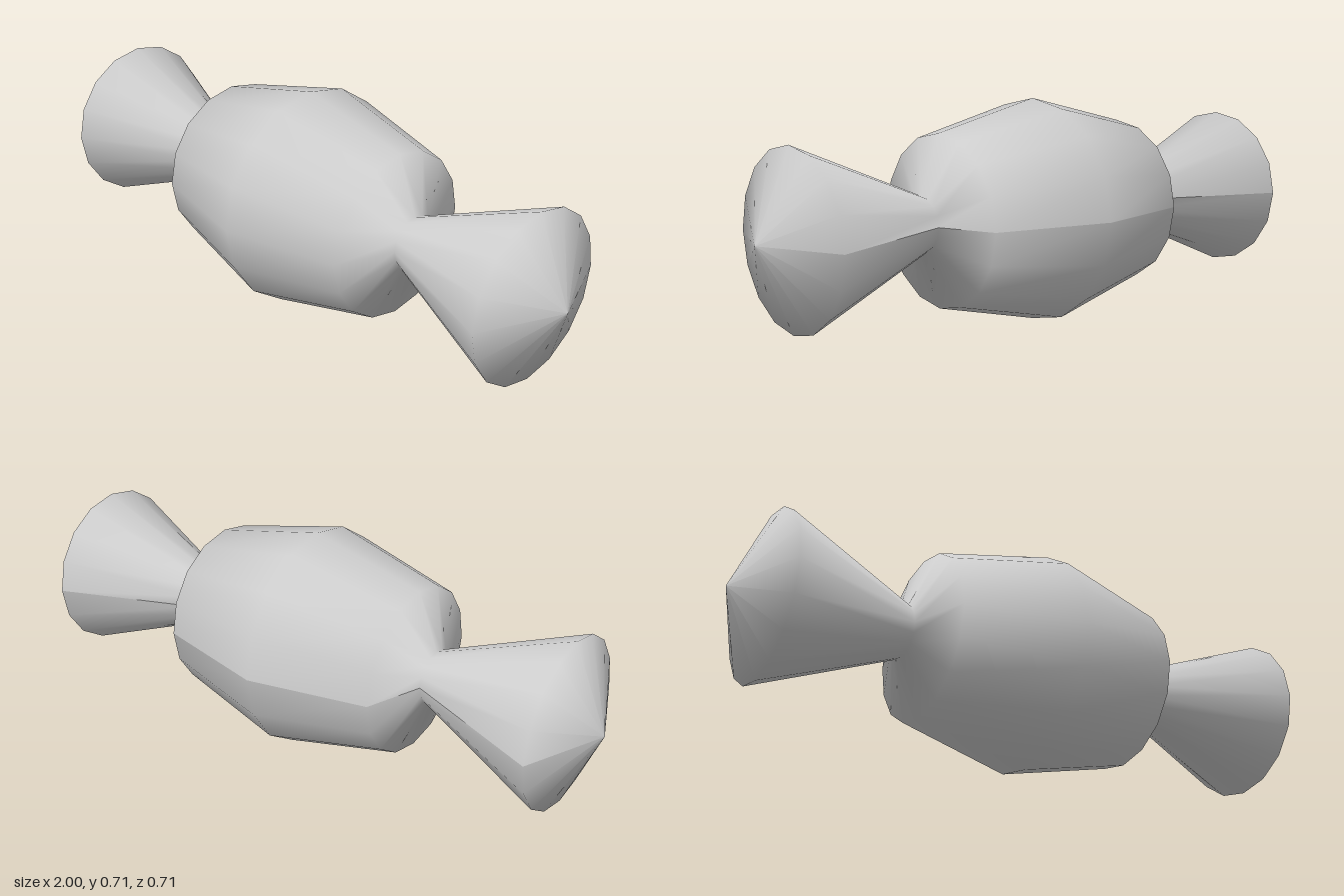
import * as THREE from 'three';

export function createModel() {
  const group = new THREE.Group();
  group.name = 'wrappedCandy';
  const wrapperGrey = new THREE.MeshStandardMaterial({ color: 0xcccccc });
  wrapperGrey.name = 'wrapperGrey';

  // Half profile [radius, distance along the axis]: tail tip, tail rim, pinch, shoulder
  const half = [[0, 1], [0.267, 0.887], [0.085, 0.442], [0.267, 0.376]];
  const profile = [
    ...half.map(([r, d]) => new THREE.Vector2(r, -d)),
    new THREE.Vector2(0.356, 0), // belly
    ...half.map(([r, d]) => new THREE.Vector2(r, d)).reverse(),
  ];

  // Sixteen-sided wrapper with its seam at the back, laid along x
  const geometry = new THREE.LatheGeometry(profile, 16, Math.PI);
  geometry.computeVertexNormals();
  geometry.rotateZ(-Math.PI / 2);

  const wrapper = new THREE.Mesh(geometry, wrapperGrey);
  wrapper.name = 'wrapper';
  wrapper.position.y = 0.356;
  group.add(wrapper);
  return group;
}
